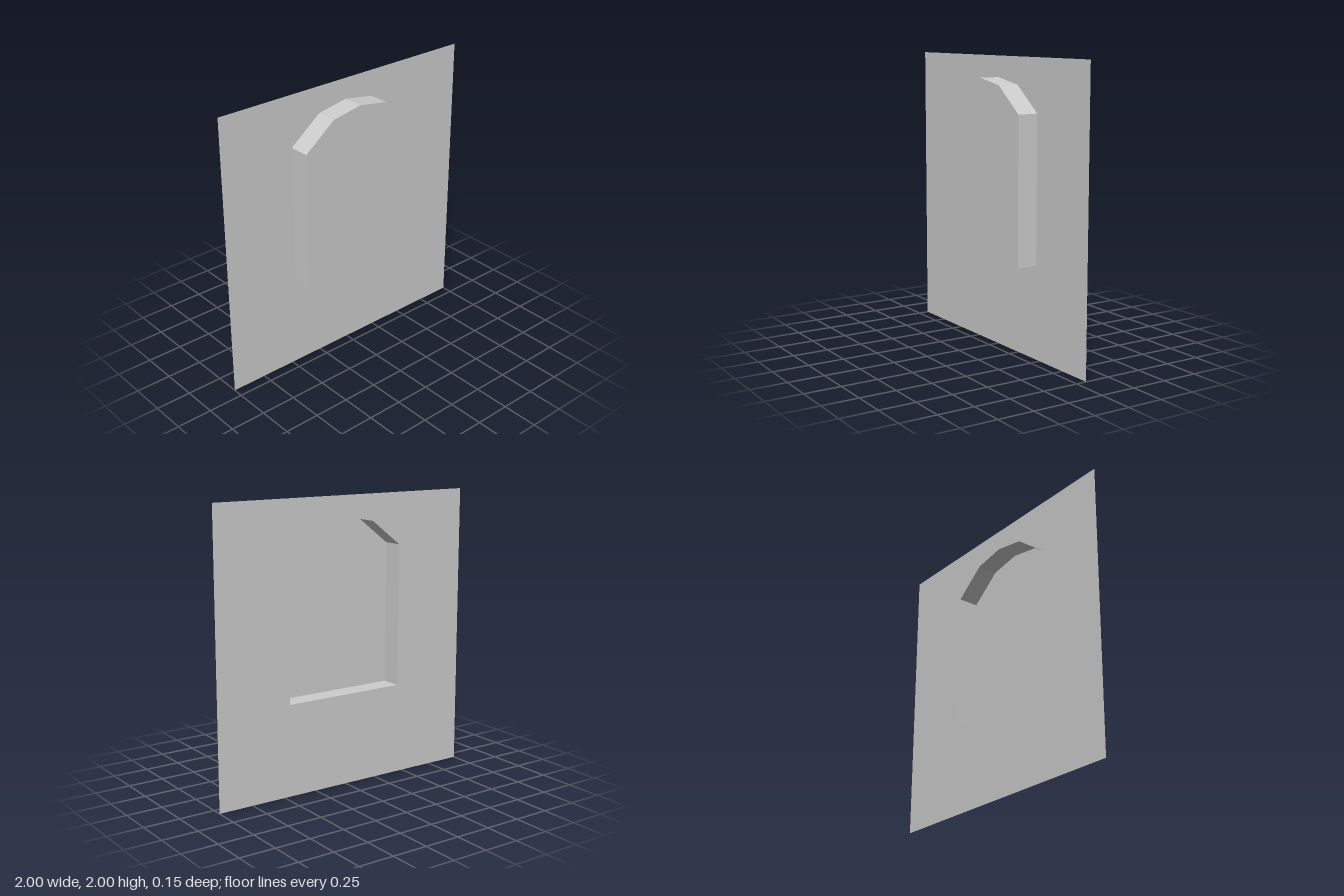
import * as THREE from 'three';

const BACK = -0.073, FRONT = 0.073;

// Arched outline, counter-clockwise seen from the front
const half = [[0.453, 0.64], [0.453, 1.64], [0.226, 1.815]];
const outline = [
  ...half,
  [0, 1.855],
  ...half.map(([x, y]) => [-x, y]).reverse(),
].map(([x, y]) => new THREE.Vector2(x, y));

export function createModel() {
  const group = new THREE.Group();
  const plaster = new THREE.MeshStandardMaterial({ color: 0xcccccc, side: THREE.DoubleSide });
  plaster.name = 'plaster grey';

  const add = (name, geometry, z = 0) => {
    const mesh = new THREE.Mesh(geometry, plaster);
    mesh.name = name;
    mesh.position.z = z;
    group.add(mesh);
  };

  // Thin square wall sheet with the arched opening
  const wall = new THREE.Shape([[-1, 0], [1, 0], [1, 2], [-1, 2]].map(([x, y]) => new THREE.Vector2(x, y)));
  wall.holes.push(new THREE.Path([...outline].reverse()));
  add('wallSheet', new THREE.ShapeGeometry(wall), BACK);

  // Flat panel closing the niche at the front
  add('nichePanel', new THREE.ShapeGeometry(new THREE.Shape(outline)), FRONT);

  // Faceted sides joining the opening to the panel
  const positions = [];
  outline.forEach((a, i) => {
    const b = outline[(i + 1) % outline.length];
    positions.push(
      a.x, a.y, FRONT, a.x, a.y, BACK, b.x, b.y, BACK,
      a.x, a.y, FRONT, b.x, b.y, BACK, b.x, b.y, FRONT,
    );
  });
  const sides = new THREE.BufferGeometry();
  sides.setAttribute('position', new THREE.Float32BufferAttribute(positions, 3));
  sides.computeVertexNormals();
  add('nicheSides', sides);

  return group;
}
